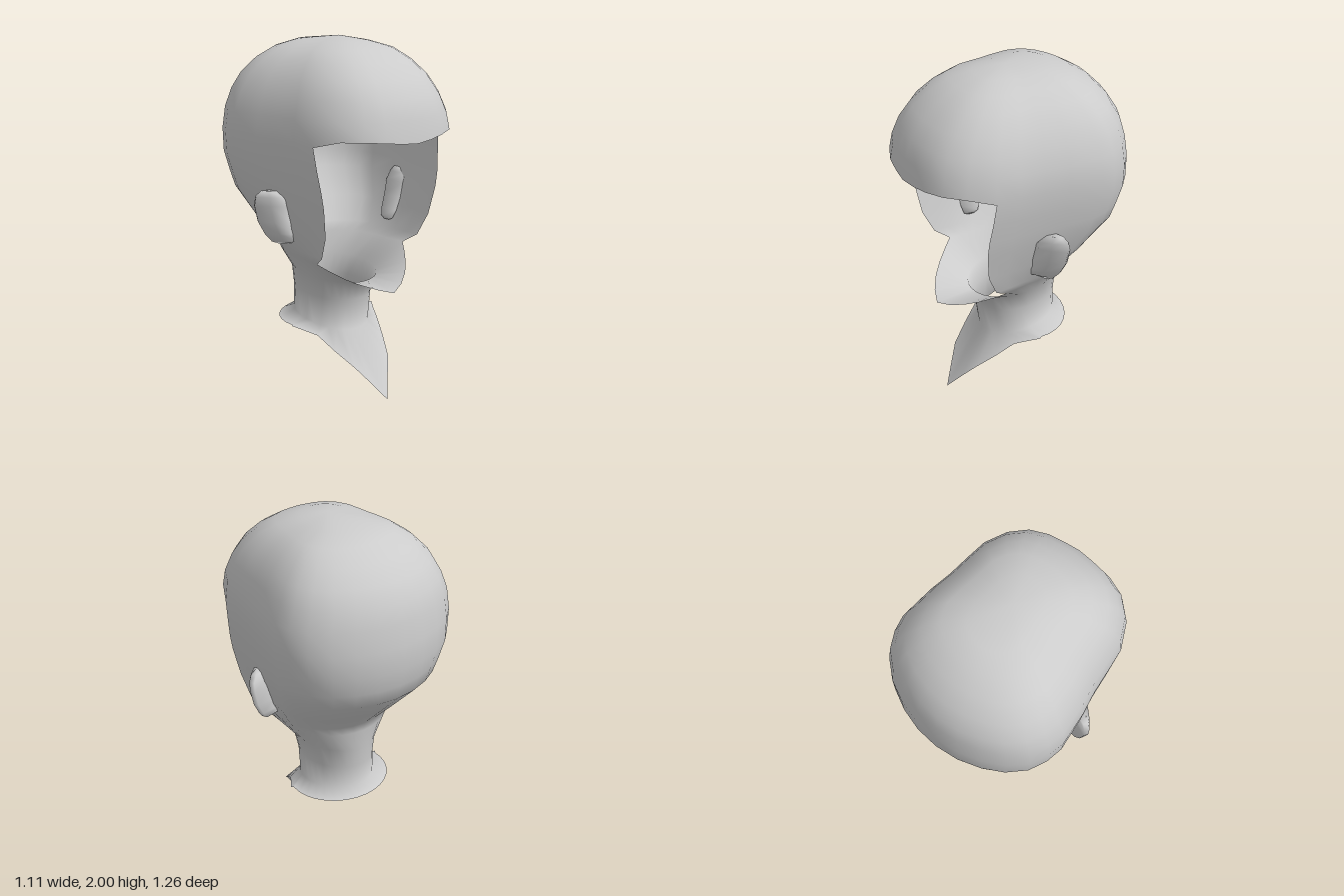
import * as THREE from 'three';
import { mergeVertices } from 'three/addons/utils/BufferGeometryUtils.js';

const material = new THREE.MeshStandardMaterial({ color: 0xcccccc, side: THREE.DoubleSide });

// half outline of the skull seen from above, from back centre to front centre
const OUTLINE = [
  [0, -1], [0.25, -0.98], [0.49, -0.92], [0.7, -0.83], [0.87, -0.7], [0.96, -0.55], [1, -0.4], [0.97, -0.1],
  [0.925, 0.11], [0.9, 0.33], [0.87, 0.54], [0.75, 0.75], [0.58, 0.89], [0.38, 0.96], [0.19, 0.985], [0, 1],
];
const N = OUTLINE.length - 1;
const EDGE = 10; // column where the face opening begins
const EDGE_V = (OUTLINE[EDGE][1] + 1) / 2;

// closed skull section
const skullRow = (y, w, back, front, lift = []) => OUTLINE.map(([u, v], j) =>
  [u * w, y + (lift[j - EDGE] ?? 0), back + (front - back) * (v + 1) / 2]);

// section that stops at the face opening, at x = edgeX and z = edgeZ
const openRow = (y, w, back, edgeX, edgeZ, rest = []) => OUTLINE.map((_, j) => {
  if (j > EDGE && rest.length) return rest[j - EDGE - 1];
  const [u, v] = OUTLINE[Math.min(j, EDGE)];
  const t = (v + 1) / 2 / EDGE_V;
  const widen = edgeX / (OUTLINE[EDGE][0] * w) - 1;
  return [u * w * (1 + widen * t), y, back + (edgeZ - back) * t];
});

// round neck section
const neckRow = (y, w, back, front, frontY = y) => OUTLINE.map((_, j) => {
  const a = Math.PI * j / N, f = (1 - Math.cos(a)) / 2;
  return [w * Math.sin(a), y + (frontY - y) * f ** 2, back + (front - back) * f];
});

function smoothGeometry(points, index) {
  let g = new THREE.BufferGeometry();
  g.setAttribute('position', new THREE.Float32BufferAttribute(points.flat(), 3));
  g.setIndex(index);
  g = mergeVertices(g, 1e-4);
  g.computeVertexNormals();
  return g;
}

// mirrors each half section and skins them, leaving out quads the skip test rejects
function skinRows(rows, skip) {
  const cols = 2 * N, points = [], index = [];
  for (const row of rows) {
    for (let k = 0; k < cols; k++) {
      const [x, y, z] = row[Math.abs(k - N)];
      points.push([k < N ? -x : x, y, z]);
    }
  }
  for (let r = 0; r < rows.length - 1; r++) {
    for (let k = 0; k < cols; k++) {
      if (skip(r, Math.abs(k + 0.5 - N))) continue;
      const a = r * cols + k, b = r * cols + (k + 1) % cols;
      index.push(a, b, a + cols, b, b + cols, a + cols);
    }
  }
  return smoothGeometry(points, index);
}

function makeHead() {
  const dome = [
    skullRow(2.0, 0, 0.02, 0.02),
    skullRow(1.975, 0.15, -0.24, 0.19),
    skullRow(1.94, 0.27, -0.34, 0.31),
    skullRow(1.88, 0.355, -0.44, 0.41),
    skullRow(1.8, 0.43, -0.52, 0.5),
    skullRow(1.71, 0.475, -0.58, 0.57),
    skullRow(1.61, 0.515, -0.605, 0.61),
    skullRow(1.49, 0.528, -0.625, 0.63, [-0.005, 0.03, 0.03, 0.02, 0.007, 0]),
  ];
  const sides = [
    openRow(1.36, 0.525, -0.63, 0.445, 0.355),
    openRow(1.25, 0.5, -0.605, 0.43, 0.37),
    openRow(1.16, 0.475, -0.58, 0.415, 0.372),
    openRow(1.0, 0.395, -0.435, 0.385, 0.35),
    openRow(0.87, 0.29, -0.315, 0.36, 0.29),
  ];
  // jaw row runs forward along the rim to the chin
  const jaw = openRow(0.815, 0.25, -0.305, 0.325, 0.21,
    [[0.285, 0.78, 0.265], [0.23, 0.74, 0.33], [0.165, 0.705, 0.39], [0.085, 0.672, 0.44], [0, 0.645, 0.47]]);
  const neck = [
    neckRow(0.69, 0.22, -0.292, 0.245, 0.66),
    neckRow(0.57, 0.203, -0.282, 0.205, 0.55),
    neckRow(0.43, 0.205, -0.278, 0.18, 0.36),
  ];
  // flared collar edge, running down to the pointed bib
  const collar = neckRow(0.39, 0.3, -0.34, 0.2);
  [[0.31, 0.39, -0.03], [0.27, 0.37, 0.03], [0.23, 0.35, 0.1], [0.185, 0.27, 0.2],
    [0.13, 0.19, 0.3], [0.065, 0.1, 0.365], [0, 0.005, 0.43]]
    .forEach((p, i) => { collar[N - 6 + i] = p; });

  const rows = [...dome, ...sides, jaw, ...neck, collar];
  const top = dome.length - 1, bottom = dome.length + sides.length;
  return skinRows(rows, (r, col) => r >= top && r < bottom && col > EDGE);
}

// ear: loops stacked from top to bottom, [y, outer x, root x, front z, back z]
function makeEar(side) {
  const loops = [
    [1.21, 0.525, 0.46, 0.045, -0.025], [1.18, 0.55, 0.45, 0.095, -0.045], [1.13, 0.553, 0.43, 0.1, -0.055],
    [1.04, 0.533, 0.41, 0.1, -0.053], [0.97, 0.498, 0.38, 0.1, -0.043], [0.925, 0.465, 0.36, 0.09, -0.025],
    [0.91, 0.43, 0.36, 0.06, 0.0],
  ];
  const points = [], index = [], n = 5;
  for (const [y, out, root, front, back] of loops) {
    points.push([root, y, front], [root + (out - root) * 0.55, y, front * 0.6 + back * 0.4],
      [out, y, back + 0.025], [out - 0.015, y, back], [root, y, back + 0.02]);
  }
  for (let r = 0; r < loops.length - 1; r++) {
    for (let k = 0; k < n; k++) {
      const a = r * n + k, b = r * n + (k + 1) % n;
      index.push(a, a + n, b, b, a + n, b + n);
    }
  }
  const last = (loops.length - 1) * n;
  for (let k = 1; k < n - 1; k++) index.push(0, k, k + 1, last, last + k + 1, last + k);
  if (side < 0) {
    points.forEach(p => { p[0] *= -1; });
    index.reverse();
  }
  return smoothGeometry(points, index);
}

export function createModel() {
  const group = new THREE.Group();
  const add = (name, geometry) => {
    const mesh = new THREE.Mesh(geometry, material);
    mesh.name = name;
    group.add(mesh);
  };
  add('headAndNeck', makeHead());
  add('leftEar', makeEar(1));
  add('rightEar', makeEar(-1));
  return group;
}
